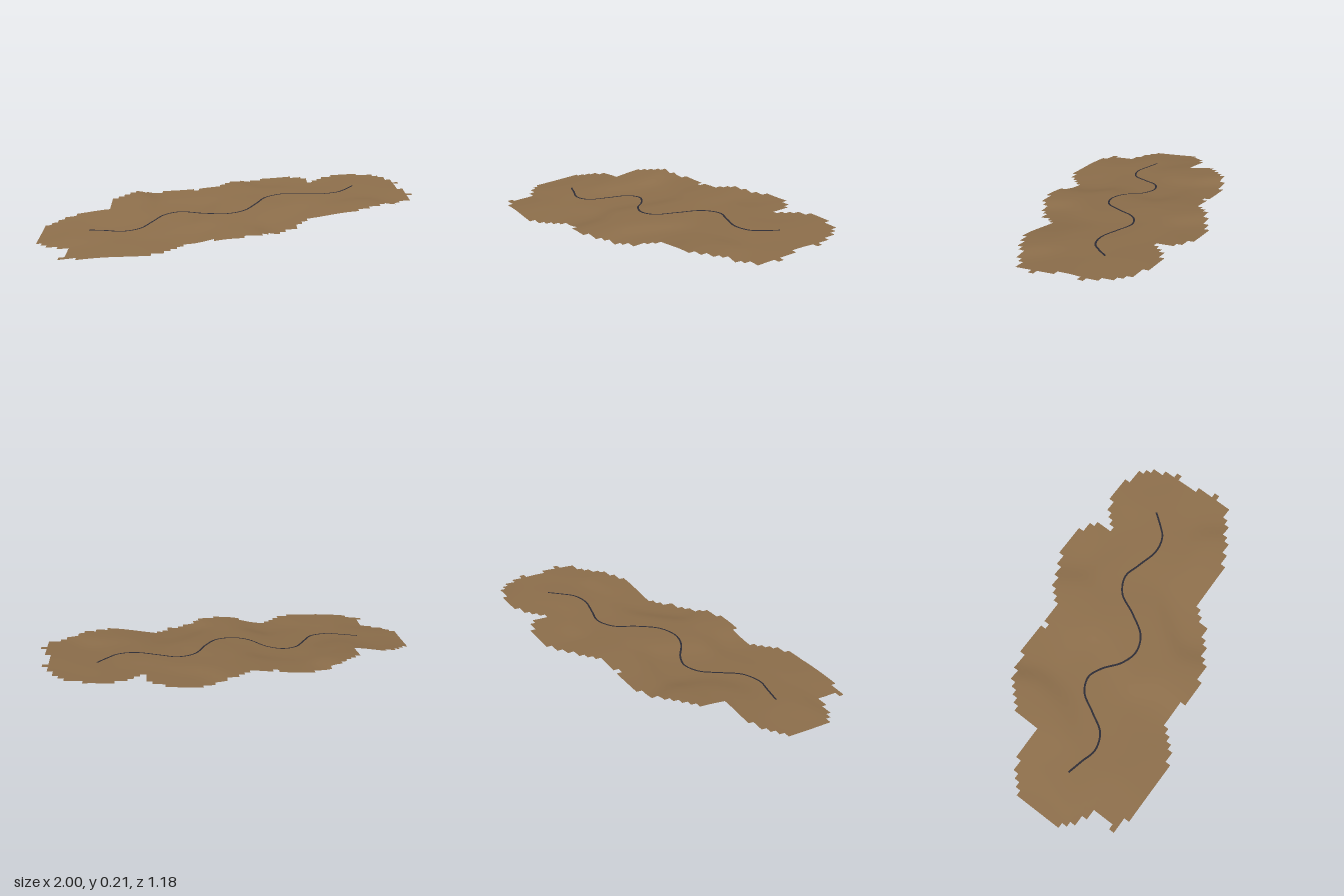
import * as THREE from 'three';

const STEP = 2 / 66, Z0 = -0.59, ROWS = 39;

// Edges of the ground patch, as [x, z] points
const north = [[-1, 0.06], [-0.97, 0.02], [-0.91, -0.03], [-0.86, -0.06], [-0.681, -0.06], [-0.68, -0.2],
  [-0.62, -0.27], [-0.56, -0.33], [-0.44, -0.385], [-0.32, -0.41], [-0.2, -0.39], [-0.08, -0.41], [0, -0.49],
  [0.12, -0.54], [0.23, -0.59], [0.35, -0.58], [0.43, -0.55], [0.47, -0.44], [0.5, -0.46], [0.56, -0.53],
  [0.65, -0.56], [0.76, -0.55], [0.85, -0.51], [0.9, -0.46], [0.938, -0.4], [0.94, -0.2], [0.969, -0.2],
  [0.97, -0.09], [1, -0.09]];
const south = [[-1, 0.29], [-0.94, 0.37], [-0.88, 0.4], [-0.821, 0.41], [-0.82, 0.55], [-0.74, 0.58],
  [-0.42, 0.585], [-0.35, 0.55], [-0.27, 0.5], [-0.23, 0.44], [-0.09, 0.44], [-0.08, 0.465], [0.05, 0.465],
  [0.15, 0.42], [0.24, 0.36], [0.32, 0.31], [0.38, 0.23], [0.42, 0.2], [0.64, 0.2], [0.73, 0.15], [0.85, 0.08],
  [0.92, 0.03], [0.965, 0], [0.97, -0.06], [1, -0.06]];
const spurs = [[-0.84, 0.54], [0.955, -0.32]];

// Local bumps and hollows: [x, z, height above the sloping plane]
const bumps = [[-0.7, 0.58, 0.002], [-0.84, 0.54, -0.016], [-0.68, -0.2, 0.034], [-0.62, -0.05, 0.018],
  [-0.99, 0.1, -0.016], [-0.82, 0, 0], [-0.74, 0.19, -0.002], [-0.45, 0.15, -0.006], [-0.4, 0.56, -0.002],
  [-0.25, 0.45, -0.014], [-0.28, -0.03, -0.004], [-0.25, -0.4, 0.003], [0, 0.46, 0.017], [0, 0.09, 0.014],
  [0.12, -0.02, 0.018], [-0.05, -0.38, 0.016], [0.25, -0.59, -0.008], [0.42, -0.54, 0], [0.35, 0.3, -0.008],
  [0.4, 0.2, -0.004], [0.3, -0.2, 0.01], [0.5, -0.16, 0.016], [0.5, -0.43, 0.002], [0.5, 0.18, 0.024],
  [0.64, 0.19, 0.032], [0.7, -0.3, 0.01], [0.85, -0.5, 0.002], [1, -0.08, 0.012]];

function heightAt(x, z) {
  let sum = 0, weight = 0.001;
  for (const [bx, bz, h] of bumps) {
    const w = Math.exp(-((x - bx) ** 2 + (z - bz) ** 2) / 0.018);
    sum += w * h;
    weight += w;
  }
  return 0.115 + 0.05 * x - 0.1 * z + sum / weight;
}

// Linear lookup along an edge
function edgeAt(edge, x) {
  const i = Math.max(1, edge.findIndex(p => p[0] >= x));
  const [a, b] = [edge[i - 1], edge[i]];
  return a[1] + (b[1] - a[1]) * (x - a[0]) / (b[0] - a[0]);
}

// Sheet of square cells with a stepped outline
function groundGeometry() {
  const positions = [], index = [], known = new Map();
  const corner = (i, j) => {
    const key = i * 1000 + j;
    if (!known.has(key)) {
      const x = -1 + i * STEP, z = Z0 + j * STEP;
      known.set(key, positions.length / 3);
      positions.push(x, heightAt(x, z), z);
    }
    return known.get(key);
  };
  for (let i = 0; i < 66; i++) {
    for (let j = 0; j < ROWS; j++) {
      const x = -1 + (i + 0.5) * STEP, z = Z0 + (j + 0.5) * STEP;
      const inside = z > edgeAt(north, x) && z < edgeAt(south, x);
      const spur = spurs.some(s => Math.abs(s[0] - x) < STEP / 2 && Math.abs(s[1] - z) < STEP / 2);
      if (!inside && !spur) continue;
      const a = corner(i, j), b = corner(i, j + 1), c = corner(i + 1, j + 1), d = corner(i + 1, j);
      index.push(a, b, d, b, c, d);
    }
  }
  const geometry = new THREE.BufferGeometry();
  geometry.setAttribute('position', new THREE.Float32BufferAttribute(positions, 3));
  geometry.setIndex(index);
  geometry.computeVertexNormals();
  return geometry;
}

// Narrow ribbon following the ground along a winding curve
function streamGeometry() {
  const curve = new THREE.CatmullRomCurve3([[-0.745, 0.19], [-0.66, 0.21], [-0.57, 0.23], [-0.48, 0.195],
    [-0.42, 0.1], [-0.36, 0], [-0.28, -0.035], [-0.2, -0.005], [-0.11, 0.065], [-0.02, 0.09], [0.07, 0.055],
    [0.14, -0.05], [0.2, -0.165], [0.29, -0.212], [0.39, -0.19], [0.51, -0.163], [0.6, -0.185], [0.65, -0.235],
    [0.7, -0.3]].map(([x, z]) => new THREE.Vector3(x, 0, z)));
  const positions = [], index = [], count = 160, half = 0.005;
  for (let i = 0; i <= count; i++) {
    const p = curve.getPointAt(i / count), t = curve.getTangentAt(i / count);
    for (const side of [-1, 1]) {
      const x = p.x - t.z * half * side, z = p.z + t.x * half * side;
      positions.push(x, heightAt(x, z) + 0.002, z);
    }
    if (i < count) {
      const k = i * 2;
      index.push(k, k + 1, k + 2, k + 1, k + 3, k + 2);
    }
  }
  const geometry = new THREE.BufferGeometry();
  geometry.setAttribute('position', new THREE.Float32BufferAttribute(positions, 3));
  geometry.setIndex(index);
  geometry.computeVertexNormals();
  return geometry;
}

export function createModel() {
  const group = new THREE.Group();
  group.name = 'riverTerrain';
  const earth = new THREE.MeshStandardMaterial({ color: 0x8b6d4a, side: THREE.DoubleSide });
  earth.name = 'earth brown';
  const water = new THREE.MeshStandardMaterial({ color: 0x2c2b34, side: THREE.DoubleSide });
  water.name = 'dark water';

  const ground = new THREE.Mesh(groundGeometry(), earth);
  ground.name = 'ground';
  const stream = new THREE.Mesh(streamGeometry(), water);
  stream.name = 'stream';
  group.add(ground, stream);

  // Rest the lowest corner on the floor
  const floor = new THREE.Box3().setFromObject(group).min.y;
  for (const mesh of group.children) mesh.geometry.translate(0, -floor, 0);
  return group;
}
